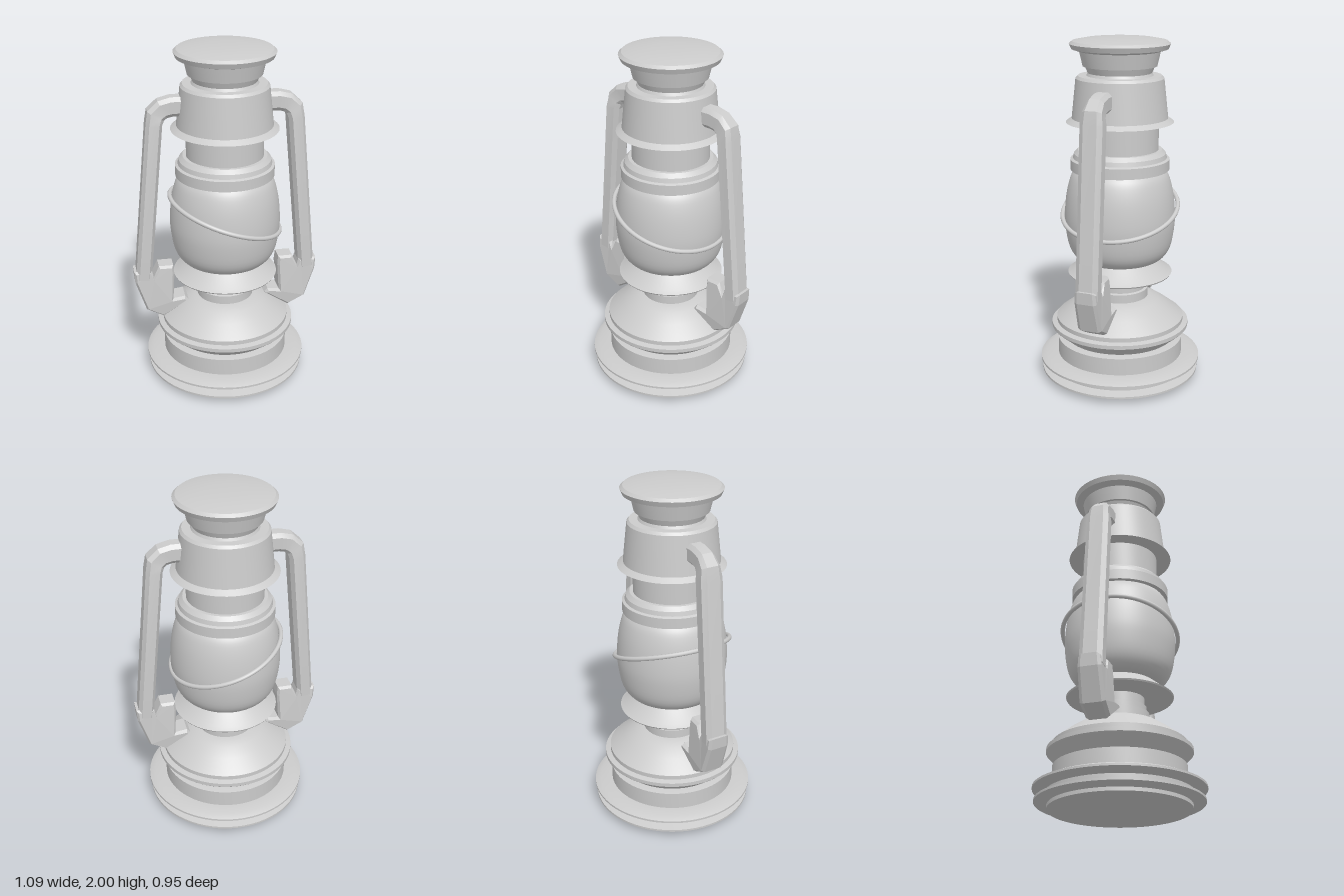
import * as THREE from 'three';
import { toCreasedNormals } from 'three/addons/utils/BufferGeometryUtils.js';

const material = new THREE.MeshStandardMaterial({ color: 0xcccccc, side: THREE.DoubleSide });

function addMesh(parent, name, geometry) {
  const mesh = new THREE.Mesh(geometry, material);
  mesh.name = name;
  parent.add(mesh);
  return mesh;
}

// Turned part from [radius, height] pairs, listed bottom to top
function turned(parent, name, profile, crease = 0.5) {
  const points = profile.map(([r, y]) => new THREE.Vector2(r, y));
  return addMesh(parent, name, toCreasedNormals(new THREE.LatheGeometry(points, 64), crease));
}

// Chamfered bar swept through stations [x, y, halfWidth, halfDepth] in the xy plane
function sweptBar(stations) {
  const section = [[1, -0.6], [1, 0.6], [0.6, 1], [-0.6, 1], [-1, 0.6], [-1, -0.6], [-0.6, -1], [0.6, -1]];
  const n = section.length, positions = [], index = [];
  stations.forEach(([x, y, w, d], i) => {
    const a = stations[Math.max(i - 1, 0)], b = stations[Math.min(i + 1, stations.length - 1)];
    const t = new THREE.Vector2(b[0] - a[0], b[1] - a[1]).normalize();
    for (const [u, v] of section) positions.push(x - t.y * u * w, y + t.x * u * w, v * d);
  });
  for (let i = 0; i < stations.length - 1; i++) {
    for (let j = 0; j < n; j++) {
      const a = i * n + j, b = i * n + (j + 1) % n;
      index.push(a, b, b + n, a, b + n, a + n);
    }
  }
  // End caps
  const last = (stations.length - 1) * n;
  for (let j = 1; j < n - 1; j++) index.push(0, j + 1, j, last, last + j, last + j + 1);
  const geometry = new THREE.BufferGeometry();
  geometry.setAttribute('position', new THREE.Float32BufferAttribute(positions, 3));
  geometry.setIndex(index);
  return toCreasedNormals(geometry, 0.3);
}

// Faceted bracket that joins an arm to the fuel tank, with its upright tab
function bracketGeometry() {
  const outline = [[0.44, 0.69], [0.43, 0.65], [0.40, 0.715], [0.315, 0.715], [0.31, 0.66], [0.32, 0.5],
    [0.25, 0.51], [0.23, 0.485], [0.38, 0.385], [0.48, 0.44], [0.54, 0.62], [0.545, 0.69]];
  const shape = new THREE.Shape(outline.map(([x, y]) => new THREE.Vector2(x, y)));
  const geometry = new THREE.ExtrudeGeometry(shape, {
    depth: 0.11, bevelEnabled: true, bevelThickness: 0.02, bevelSize: 0.012, bevelOffset: -0.012, bevelSegments: 1,
  });
  geometry.translate(0, 0, -0.055);
  // Thickest at the elbow, thinner above and below
  const p = geometry.attributes.position;
  for (let i = 0; i < p.count; i++) {
    p.setZ(i, p.getZ(i) * (1 - 1.1 * Math.abs(p.getY(i) - 0.5)));
  }
  geometry.computeVertexNormals();
  return geometry;
}

// Tilted wire loop around the globe
class TiltedLoop extends THREE.Curve {
  getPoint(t, target = new THREE.Vector3()) {
    const a = t * Math.PI * 2;
    return target.set(0.318 * Math.cos(a), 1.02 - 0.11 * Math.cos(a), 0.336 * Math.sin(a));
  }
}

export function createModel() {
  const lantern = new THREE.Group();
  lantern.name = 'lantern';

  // Base and fuel tank
  turned(lantern, 'base', [[0, 0], [0.395, 0], [0.395, 0.02], [0.465, 0.035], [0.465, 0.047], [0.41, 0.06],
    [0.41, 0.085], [0.475, 0.105], [0.475, 0.117], [0.44, 0.132], [0.37, 0.135], [0.37, 0.235], [0.33, 0.243], [0, 0.243]]);
  turned(lantern, 'fuelTank', [[0, 0.24], [0.325, 0.24], [0.34, 0.255], [0.395, 0.3], [0.405, 0.31], [0.405, 0.332],
    [0.375, 0.34], [0.375, 0.365], [0.29, 0.43], [0.23, 0.47], [0.18, 0.49], [0, 0.49]]);
  turned(lantern, 'burnerNeck', [[0.165, 0.485], [0.165, 0.54], [0.15, 0.545], [0.15, 0.58], [0.138, 0.585], [0.138, 0.64]]);
  turned(lantern, 'globeDish', [[0, 0.632], [0.3, 0.632], [0.305, 0.64], [0.28, 0.655], [0.2, 0.72], [0, 0.72]]);

  // Glass globe with its wire
  const globeCurve = new THREE.SplineCurve([[0.19, 0.713], [0.25, 0.735], [0.295, 0.8], [0.317, 0.92], [0.318, 1.02],
    [0.305, 1.13], [0.28, 1.22], [0.25, 1.265]].map(([r, y]) => new THREE.Vector2(r, y)));
  turned(lantern, 'globe', globeCurve.getPoints(28).map((p) => [p.x, p.y]), 0.8);
  addMesh(lantern, 'globeWire', new THREE.TubeGeometry(new TiltedLoop(), 80, 0.013, 10, true));

  // Chimney, hood and cap
  turned(lantern, 'globeCollar', [[0, 1.258], [0.283, 1.258], [0.283, 1.318], [0.268, 1.325], [0.262, 1.35],
    [0.24, 1.372], [0, 1.372]]);
  turned(lantern, 'chimney', [[0.22, 1.36], [0.22, 1.54]]);
  turned(lantern, 'hood', [[0, 1.53], [0.305, 1.53], [0.272, 1.553], [0.248, 1.775], [0.235, 1.79], [0, 1.79]]);
  turned(lantern, 'capNeck', [[0.19, 1.785], [0.18, 1.805], [0.195, 1.84], [0.208, 1.842], [0.228, 1.93]]);
  turned(lantern, 'cap', [[0, 1.925], [0.232, 1.925], [0.27, 1.937], [0.282, 1.965], [0.265, 1.98], [0.2, 1.992],
    [0.1, 1.999], [0, 2]]);

  // Side arms with their lower brackets, the second pair turned half round
  const arm = sweptBar([[0.22, 1.675, 0.055, 0.05], [0.3, 1.675, 0.055, 0.05], [0.35, 1.663, 0.055, 0.05],
    [0.388, 1.63, 0.053, 0.056], [0.4, 1.58, 0.046, 0.065], [0.488, 0.64, 0.046, 0.065]]);
  const bracket = bracketGeometry();
  for (const [side, turn] of [['left', 0], ['right', Math.PI]]) {
    const frame = new THREE.Group();
    frame.name = side + 'Frame';
    frame.rotation.y = turn;
    addMesh(frame, side + 'Arm', arm);
    addMesh(frame, side + 'Bracket', bracket);
    lantern.add(frame);
  }
  return lantern;
}
